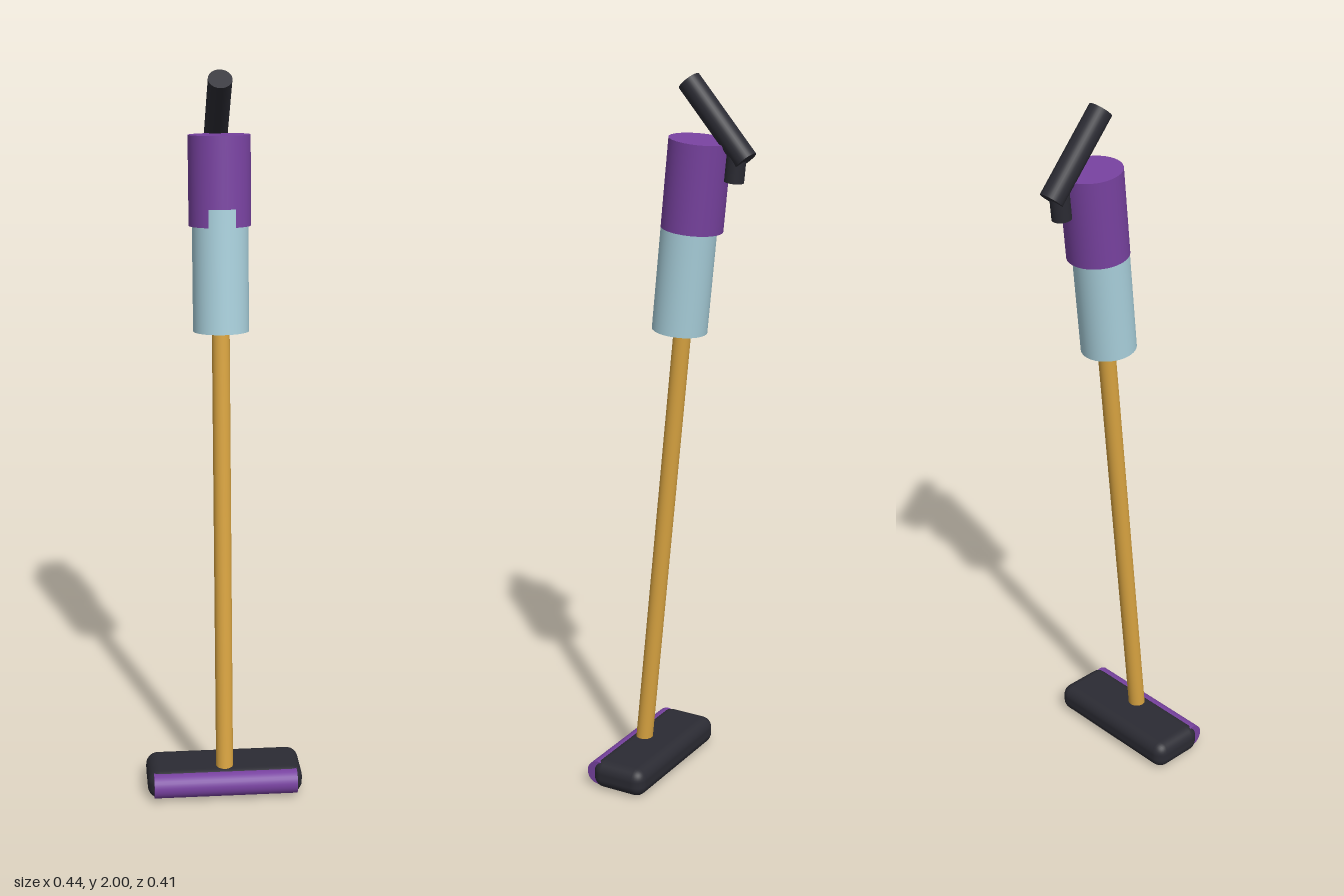
import * as THREE from 'three';
import { RoundedBoxGeometry } from 'three/addons/geometries/RoundedBoxGeometry.js';

const mat = (name, color) => {
  const m = new THREE.MeshStandardMaterial({ color });
  m.name = name;
  return m;
};

export function createModel() {
  const purple = mat('purple', 0x7842a0);
  const black = mat('charcoal', 0x2b2b33);
  const gold = mat('gold', 0xd9a441);
  const clear = mat('pale blue', 0xa9d0dc);

  const model = new THREE.Group();
  model.name = 'stickVacuum';

  const add = (parent, name, geometry, material, x = 0, y = 0, z = 0) => {
    const mesh = new THREE.Mesh(geometry, material);
    mesh.name = name;
    mesh.position.set(x, y, z);
    parent.add(mesh);
    return mesh;
  };
  // Upright cylinder between two heights
  const column = (parent, name, material, r, y0, y1, z = 0) =>
    add(parent, name, new THREE.CylinderGeometry(r, r, y1 - y0, 40), material, 0, (y0 + y1) / 2, z);

  // Floor head with soft roller along its front edge
  add(model, 'floorHead', new RoundedBoxGeometry(0.436, 0.082, 0.166, 4, 0.033), black, 0, 0.041, 0.102);
  const roller = add(model, 'roller', new THREE.CylinderGeometry(0.035, 0.035, 0.402, 32), purple, 0, 0.043, 0.17);
  roller.rotation.z = Math.PI / 2;

  // Everything along the wand leans back together
  const body = new THREE.Group();
  body.name = 'leaningBody';
  body.position.set(0, 0.09, 0.134);
  body.rotation.x = -0.103;
  model.add(body);
  column(body, 'wand', gold, 0.024, -0.04, 1.25);
  column(body, 'dustBin', clear, 0.075, 1.231, 1.56, 0.009); // set slightly forward
  column(body, 'motorHousing', purple, 0.083, 1.512, 1.75);

  // Angled grip and the short post that joins it to the housing
  const low = new THREE.Vector3(0, 1.785, -0.18);
  const high = new THREE.Vector3(0, 1.979, -0.012);
  const axis = high.clone().sub(low);
  const grip = add(model, 'grip', new THREE.CylinderGeometry(0.032, 0.032, axis.length(), 32), black);
  grip.position.copy(low).add(high).multiplyScalar(0.5);
  grip.quaternion.setFromUnitVectors(new THREE.Vector3(0, 1, 0), axis.normalize());
  const post = column(model, 'gripPost', black, 0.026, 1.727, 1.81, -0.15);
  post.rotation.x = -0.103;

  return model;
}
